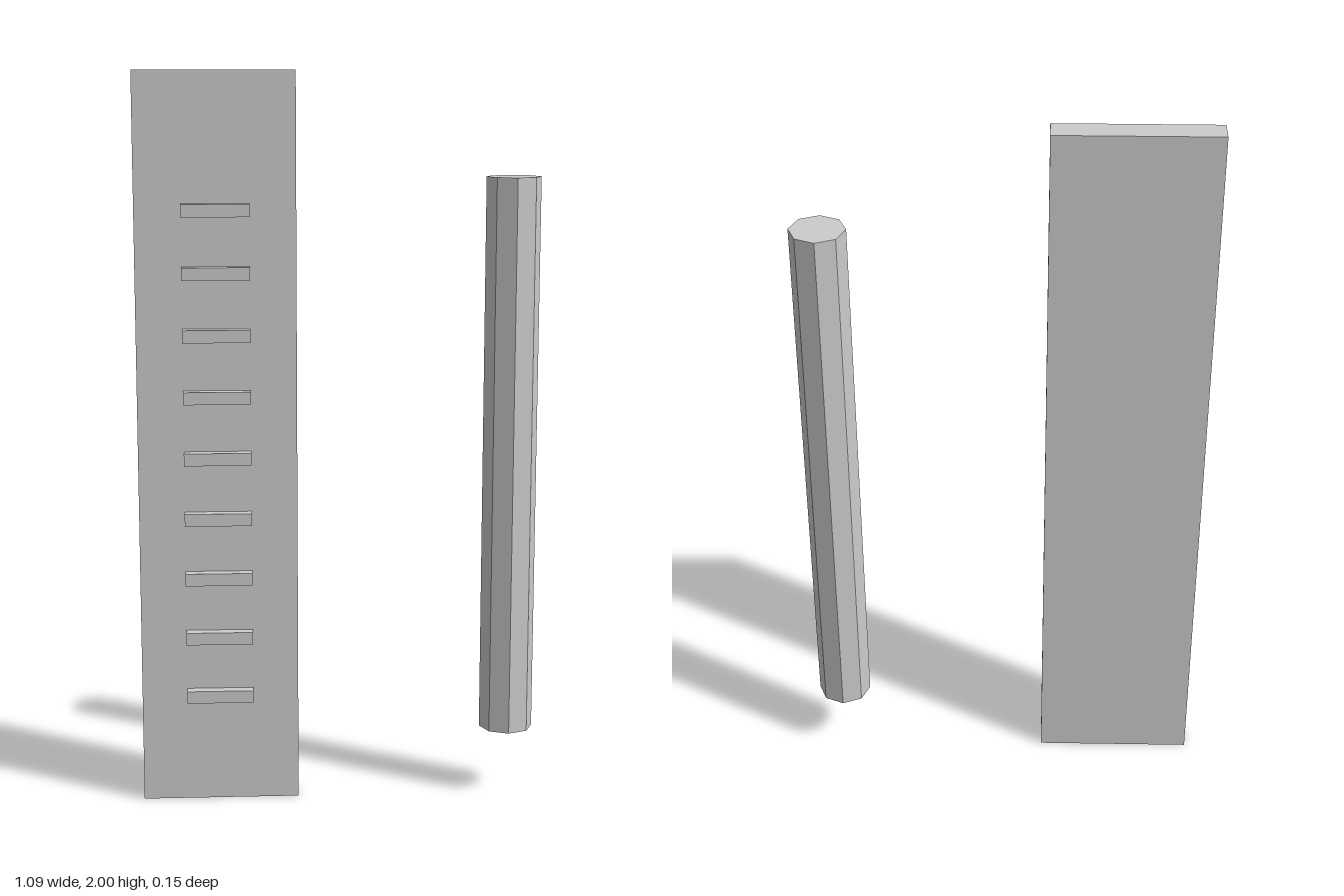
import * as THREE from 'three';

export function createModel() {
  const model = new THREE.Group();
  const material = new THREE.MeshStandardMaterial({ color: 0xcccccc, flatShading: true });

  const add = (name, geometry, x, y, z) => {
    const mesh = new THREE.Mesh(geometry, material);
    mesh.name = name;
    mesh.position.set(x, y, z);
    model.add(mesh);
  };

  // Tall flat panel
  const panelX = -0.33;
  add('panel', new THREE.BoxGeometry(0.43, 2, 0.068), panelX, 1, 0);

  // Nine evenly spaced bars on the front of the panel
  const bar = new THREE.BoxGeometry(0.182, 0.034, 0.032);
  for (let i = 0; i < 9; i++) {
    add(`bar${i + 1}`, bar, panelX, 0.302 + i * 0.1667, 0.049);
  }

  // Free-standing octagonal post
  add('post', new THREE.CylinderGeometry(0.074, 0.074, 1.535, 8), 0.469, 0.952, 0);

  return model;
}
